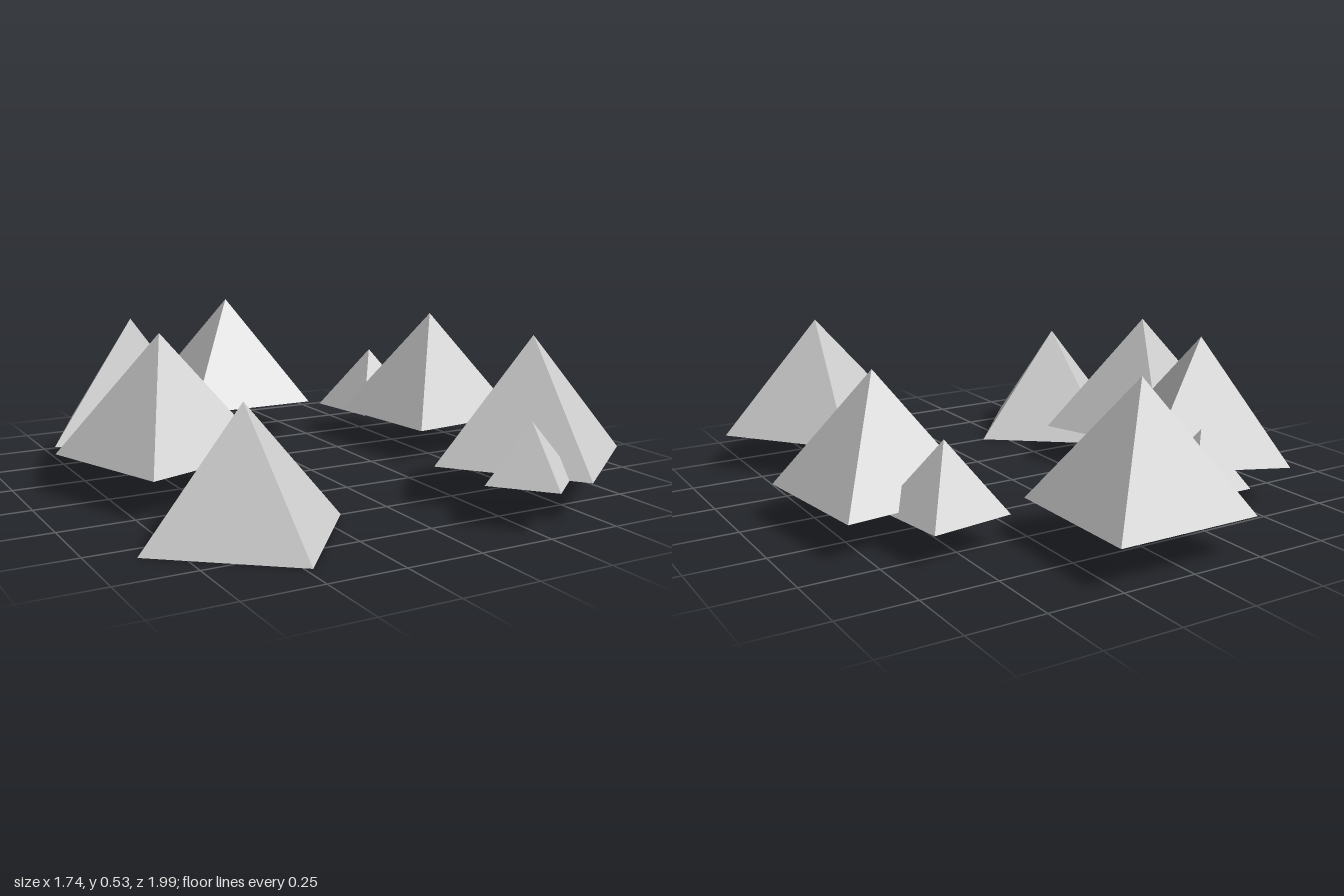
import * as THREE from 'three';

// Ring of square pyramids: [name, x, base y, z, corner radius, turn]
const PYRAMIDS = [
  ['backPyramid', 0.015, 0.13, -0.75, 0.35, Math.PI / 4],
  ['backSmallPyramid', -0.273, 0.13, -0.687, 0.16, Math.PI / 4],
  ['rightBackPyramid', -0.521, 0.13, -0.382, 0.35, 0.37],
  ['rightMiddlePyramid', -0.558, 0.13, -0.009, 0.35, 1.125],
  ['rightFrontPyramid', -0.516, 0, 0.536, 0.35, 0.11],
  ['leftFrontPyramid', 0.481, 0.13, 0.605, 0.35, -0.112],
  ['leftFrontSmallPyramid', 0.299, 0.13, 0.833, 0.16, -0.09],
  ['leftMiddlePyramid', 0.601, 0.12, -0.154, 0.337, 0.905],
  ['leftBackSmallPyramid', 0.5, 0.105, -0.431, 0.2, 0.935],
];

// All pyramids share one slope
const HEIGHT_PER_RADIUS = 1.145;

export function createModel() {
  const group = new THREE.Group();
  group.name = 'pyramidRing';
  const material = new THREE.MeshStandardMaterial({ color: 0xcccccc, flatShading: true });

  for (const [name, x, y, z, radius, turn] of PYRAMIDS) {
    const height = radius * HEIGHT_PER_RADIUS;
    // Four-sided cone with a closed base, standing on its own base level
    const geometry = new THREE.ConeGeometry(radius, height, 4);
    geometry.translate(0, height / 2, 0);
    const pyramid = new THREE.Mesh(geometry, material);
    pyramid.name = name;
    pyramid.position.set(x, y, z);
    pyramid.rotation.y = turn;
    group.add(pyramid);
  }
  return group;
}
